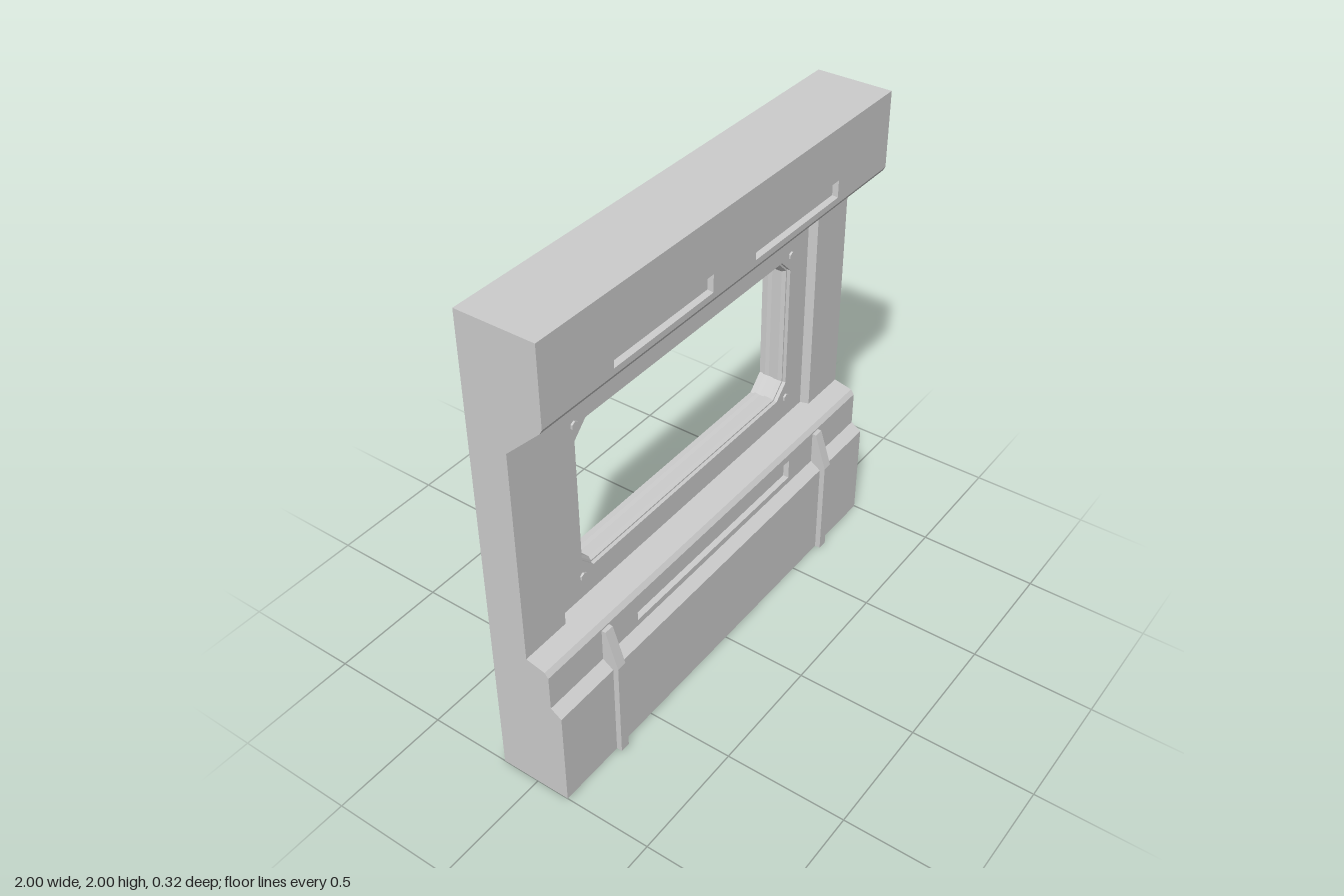
import * as THREE from 'three';

const material = new THREE.MeshStandardMaterial({ color: 0xcccccc, flatShading: true });
const thin = new THREE.MeshStandardMaterial({ color: 0xcccccc, flatShading: true, side: THREE.DoubleSide });

const BACK = -0.16, RECESS = -0.03;

// Side profile of the front, as [z, y] from top to bottom
const profile = [
  [0.155, 2], [0.155, 1.69], [0.145, 1.672], [0, 1.53], [0, 0.635],
  [0.08, 0.617], [0.095, 0.597], [0.095, 0.45], [0.14, 0.42], [0.14, 0],
];

const rect = (x0, y0, x1, y1) => [[x0, y0], [x1, y0], [x1, y1], [x0, y1]];
const toVectors = (points) => points.map(([x, y]) => new THREE.Vector2(x, y));

// Chamfered window outline, grown by an offset
function windowOutline(o) {
  const w = 0.636 + o, b = 0.765 - o, t = 1.39 + o, c = 0.056 + o * 0.4;
  return [[-w + c, b], [w - c, b], [w, b + c], [w, t - c],
    [w - c, t], [-w + c, t], [-w, t - c], [-w, b + c]];
}

// Joins successive rings of [x, y, z] points with flat quads
function loft(rings, closed = true) {
  const pos = [];
  for (let k = 0; k < rings.length - 1; k++) {
    const r = rings[k], s = rings[k + 1], n = r.length;
    for (let i = 0; i < (closed ? n : n - 1); i++) {
      const j = (i + 1) % n;
      pos.push(...r[i], ...r[j], ...s[j], ...r[i], ...s[j], ...s[i]);
    }
  }
  const g = new THREE.BufferGeometry();
  g.setAttribute('position', new THREE.Float32BufferAttribute(pos, 3));
  g.computeVertexNormals();
  return g;
}

export function createModel() {
  const model = new THREE.Group();

  function add(name, geometry, mat = material) {
    const mesh = new THREE.Mesh(geometry, mat);
    mesh.name = name;
    model.add(mesh);
    return mesh;
  }

  // Flat sheet drawn in x and y, laid on the plane z = zAt(y)
  function sheet(name, outline, holes, zAt) {
    const shape = new THREE.Shape(toVectors(outline));
    for (const h of holes) shape.holes.push(new THREE.Path(toVectors(h)));
    const g = new THREE.ShapeGeometry(shape);
    const p = g.attributes.position;
    for (let i = 0; i < p.count; i++) p.setZ(i, zAt(p.getY(i)));
    g.computeVertexNormals();
    return add(name, g);
  }

  // Front panel between two profile points, with sunken slots
  function panel(name, k, slots = [], outline) {
    const [z0, y0] = profile[k], [z1, y1] = profile[k + 1];
    const slope = (z1 - z0) / (y1 - y0);
    const zAt = (y) => z0 + (y - y0) * slope;
    const holes = slots.map((s) => rect(...s));
    sheet(name, outline || rect(-1, y1, 1, y0), holes, zAt);
    const length = Math.hypot(1, slope), depth = 0.02, inset = 0.008;
    for (const [a, b, c, d] of slots) {
      const sink = ([x, y]) => [x, y + slope / length * depth, zAt(y) - depth / length];
      const outer = rect(a, b, c, d).map(([x, y]) => [x, y, zAt(y)]);
      const inner = rect(a + inset, b + inset, c - inset, d - inset).map(sink);
      add(name + 'SlotWalls', loft([outer, inner]));
      add(name + 'SlotFloor', loft([[inner[0], inner[1]], [inner[3], inner[2]]], false), thin);
    }
  }

  // Upper fascia and sloped hood
  panel('fascia', 0, [[-0.655, 1.715, -0.125, 1.785], [0.125, 1.715, 0.655, 1.785]]);
  panel('fasciaEdge', 1);
  panel('hood', 2, [
    [-0.655, 1.608, -0.125, 1.652], [0.125, 1.608, 0.655, 1.652],
    [-0.695, 1.518, -0.33, 1.56], [-0.183, 1.518, 0.183, 1.56], [0.33, 1.518, 0.695, 1.56],
  ], [[-1, 1.53], [-0.79, 1.53], [-0.77, 1.5], [0.77, 1.5], [0.79, 1.53], [1, 1.53], [1, 1.672], [-1, 1.672]]);

  // Side columns and the bevelled edges of the recess
  for (const s of [-1, 1]) {
    const xs = [s * 0.79, s].sort((a, b) => a - b);
    panel('column', 3, [], rect(xs[0], 0.635, xs[1], 1.53));
    const front = [[s * 0.79, 0.635, 0], [s * 0.79, 1.53, 0]];
    const rear = [[s * 0.77, 0.643, RECESS], [s * 0.77, 1.5, RECESS]];
    if (s < 0) { front.reverse(); rear.reverse(); }
    add('columnBevel', loft([front, rear], false));
  }

  // Sill and lower wall
  panel('sill', 4);
  add('sillInnerEdge', loft([
    [[-0.79, 0.635, 0], [0.79, 0.635, 0]],
    [[-0.77, 0.643, RECESS], [0.77, 0.643, RECESS]],
  ], false));
  panel('sillEdge', 5);
  panel('lowerBand', 6, [[-0.505, 0.477, 0.5, 0.565]]);
  panel('plinthSlope', 7);
  panel('plinth', 8);

  // Recessed window wall, back wall and stepped window frame
  const frame = [[RECESS, 0.014], [-0.045, 0.014], [-0.045, 0.008], [-0.06, 0], [-0.085, 0],
    [-0.085, 0.012], [-0.11, 0.012], [-0.125, 0.006], [-0.135, 0.006], [-0.135, 0.022], [BACK, 0.022]];
  sheet('windowWall', rect(-0.77, 0.643, 0.77, 1.5), [windowOutline(0.014)], () => RECESS);
  add('windowFrame', loft(frame.map(([z, o]) => windowOutline(o).map(([x, y]) => [x, y, z]))));
  // The window is symmetrical, so the back sheet is mirrored by turning it around
  const backWall = sheet('backWall', rect(-1, 0, 1, 2), [windowOutline(0.022)], () => -BACK);
  backWall.rotation.y = Math.PI;

  // End caps, top and base
  const side = new THREE.ShapeGeometry(new THREE.Shape(toVectors([...profile, [BACK, 0], [BACK, 2]])));
  side.rotateY(-Math.PI / 2);
  for (const x of [-1, 1]) add('endCap', side, thin).position.x = x;
  for (const [name, y, z] of [['top', 2, 0.155], ['base', 0, 0.14]]) {
    const g = new THREE.PlaneGeometry(2, z - BACK).rotateX(y ? -Math.PI / 2 : Math.PI / 2);
    add(name, g).position.set(0, y, (z + BACK) / 2);
  }

  // Hexagonal bolts around the window
  const boltGeometry = new THREE.CylinderGeometry(0.017, 0.017, 0.016, 6).rotateX(Math.PI / 2);
  for (const x of [-0.65, 0.65]) for (const y of [0.74, 1.41]) add('bolt', boltGeometry).position.set(x, y, RECESS);

  // Upright braces on the lower wall
  const braceShape = new THREE.Shape(toVectors(
    [[0.08, 0], [0.163, 0], [0.163, 0.435], [0.112, 0.59], [0.08, 0.59]]));
  const braceGeometry = new THREE.ExtrudeGeometry(braceShape, { depth: 0.042, bevelEnabled: false });
  braceGeometry.translate(0, 0, -0.021).rotateY(-Math.PI / 2);
  for (const x of [-0.69, 0.695]) add('brace', braceGeometry).position.x = x;

  return model;
}
